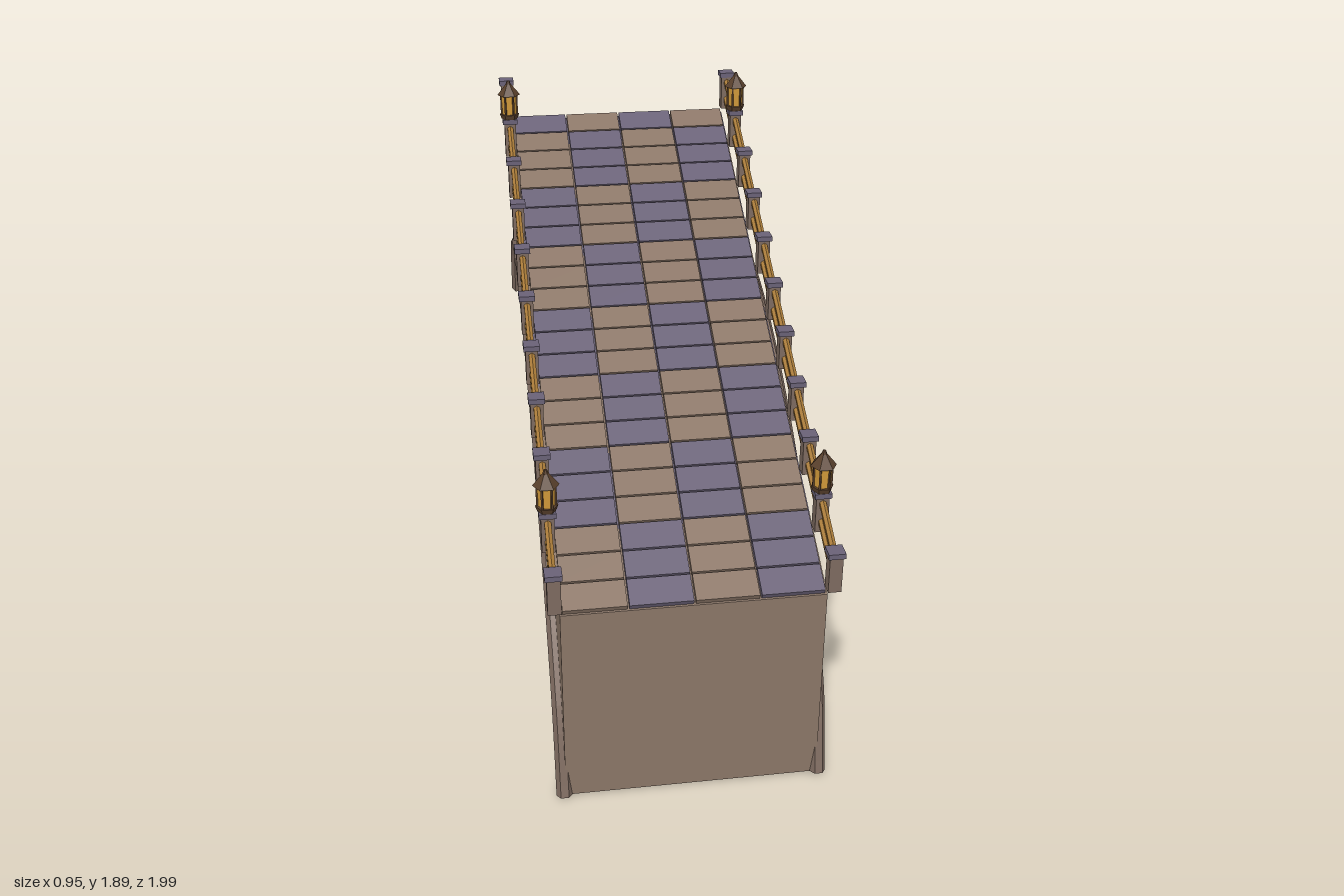
import * as THREE from 'three';

const HALF = 0.97, WIDTH = 0.83, SEGMENTS = 30, SLOPE = 0.5;
const PITCH = Math.atan(SLOPE);
const SLOPE_LENGTH = 2 * HALF * Math.hypot(1, SLOPE);

const mat = (name, color) => Object.assign(new THREE.MeshStandardMaterial({ color }), { name });

// Heights along the bridge at a given z
const climb = z => SLOPE * (HALF - z);
const wallTop = z => 0.723 + climb(z);
const deckTop = z => 0.745 + climb(z);
const archY = z => 0.015 + climb(z) + 0.635 * Math.sqrt(Math.max(0, 1 - (z / HALF) ** 2));
const segmentZ = i => HALF - (2 * HALF * i) / SEGMENTS;

export function createModel() {
  const brown = mat('brown stone', 0x8b7667);
  const slate = mat('slate stone', 0x6a6277);
  const trim = mat('trim stone', 0x7e6b60);
  const wood = mat('rail wood', 0xa87a38);
  const metal = mat('lantern metal', 0x59402c);
  const glass = mat('lantern glass', 0xd29a3a);

  const model = new THREE.Group();
  model.name = 'slopedBridge';
  const add = (parent, name, geometry, material, x = 0, y = 0, z = 0) => {
    const mesh = new THREE.Mesh(geometry, material);
    mesh.name = name;
    mesh.position.set(x, y, z);
    parent.add(mesh);
    return mesh;
  };
  const faceted = geometry => {
    const flat = geometry.toNonIndexed();
    flat.computeVertexNormals();
    return flat;
  };
  const hexagon = (top, bottom, height) =>
    faceted(new THREE.CylinderGeometry(top, bottom, height, 6, 1, false, Math.PI / 6));

  // Body: alternating blocks of stone above the arch
  for (let start = 0, n = 0; start < SEGMENTS; start += 4, n++) {
    const end = Math.min(start + 4, SEGMENTS);
    const points = [];
    for (let i = start; i <= end; i++) points.push(new THREE.Vector2(-segmentZ(i), archY(segmentZ(i))));
    for (const i of [end, start]) points.push(new THREE.Vector2(-segmentZ(i), wallTop(segmentZ(i))));
    const block = new THREE.ExtrudeGeometry(new THREE.Shape(points), { depth: WIDTH, bevelEnabled: false });
    block.translate(0, 0, -WIDTH / 2).rotateY(Math.PI / 2);
    add(model, 'bodyBlock', block, n % 2 ? slate : brown);
  }

  // Paving: rows of four tiles lying on the slope, chequered three rows at a time
  const rows = 22, columns = 4;
  const tileWidth = 0.82 / columns, tileStep = (2 * HALF) / rows, thickness = 0.03;
  const tile = new THREE.BoxGeometry(tileWidth - 0.006, thickness, SLOPE_LENGTH / rows - 0.006);
  for (let r = 0; r < rows; r++) {
    for (let c = 0; c < columns; c++) {
      const z = HALF - (r + 0.5) * tileStep;
      const colour = (Math.floor(r / 3) + c) % 2 ? slate : brown;
      add(model, 'pavingTile', tile, colour,
        (c - 1.5) * tileWidth, deckTop(z) - (thickness / 2) / Math.cos(PITCH), z).rotation.x = PITCH;
    }
  }

  // Shared parts of the parapets
  const postShaft = new THREE.BoxGeometry(0.042, 0.125, 0.042);
  const postCap = new THREE.BoxGeometry(0.054, 0.018, 0.054);
  const rail = faceted(new THREE.CylinderGeometry(0.012, 0.012, SLOPE_LENGTH, 6));
  rail.rotateX(Math.PI / 2 + PITCH);
  const hexShape = new THREE.Shape(Array.from({ length: 6 }, (_, i) =>
    new THREE.Vector2(0.026 * Math.cos(i * Math.PI / 3), 0.026 * Math.sin(i * Math.PI / 3))));

  const addLantern = (x, y, z) => {
    const lantern = new THREE.Group();
    lantern.name = 'lantern';
    lantern.position.set(x, y, z);
    add(lantern, 'lanternBase', hexagon(0.036, 0.03, 0.018), metal, 0, 0.009, 0);
    add(lantern, 'lanternGlass', hexagon(0.03, 0.027, 0.074), glass, 0, 0.055, 0);
    for (let i = 0; i < 6; i++) {
      const a = i * Math.PI / 3 + Math.PI / 6;
      add(lantern, 'lanternBar', new THREE.BoxGeometry(0.006, 0.074, 0.006), metal,
        0.029 * Math.sin(a), 0.055, 0.029 * Math.cos(a)).rotation.y = a;
    }
    add(lantern, 'lanternRoof', hexagon(0.01, 0.042, 0.04), metal, 0, 0.11, 0);
    add(lantern, 'lanternFinial', hexagon(0.005, 0.01, 0.014), metal, 0, 0.136, 0);
    model.add(lantern);
  };

  for (const side of [-1, 1]) {
    // Arch moulding along the edge of the vault
    const path = new THREE.CatmullRomCurve3(Array.from({ length: SEGMENTS + 1 }, (_, i) =>
      new THREE.Vector3(side * 0.42, archY(segmentZ(i)), segmentZ(i))));
    add(model, 'archMoulding',
      new THREE.ExtrudeGeometry(hexShape, { steps: 60, extrudePath: path, bevelEnabled: false }), trim);

    // Posts with caps, lanterns on the second from each end
    const x = side * 0.431;
    for (let i = 0; i <= 10; i++) {
      const z = HALF - 0.194 * i, y = deckTop(z);
      add(model, 'postShaft', postShaft, trim, x, y + 0.0605, z);
      add(model, 'postCap', postCap, slate, x, y + 0.131, z);
      if (i === 1 || i === 9) addLantern(x, y + 0.14, z);
    }

    // Upper and lower handrails
    for (const offset of [0.112, 0.045]) add(model, 'handrail', rail, wood, x, deckTop(0) + offset, 0);
  }
  return model;
}
